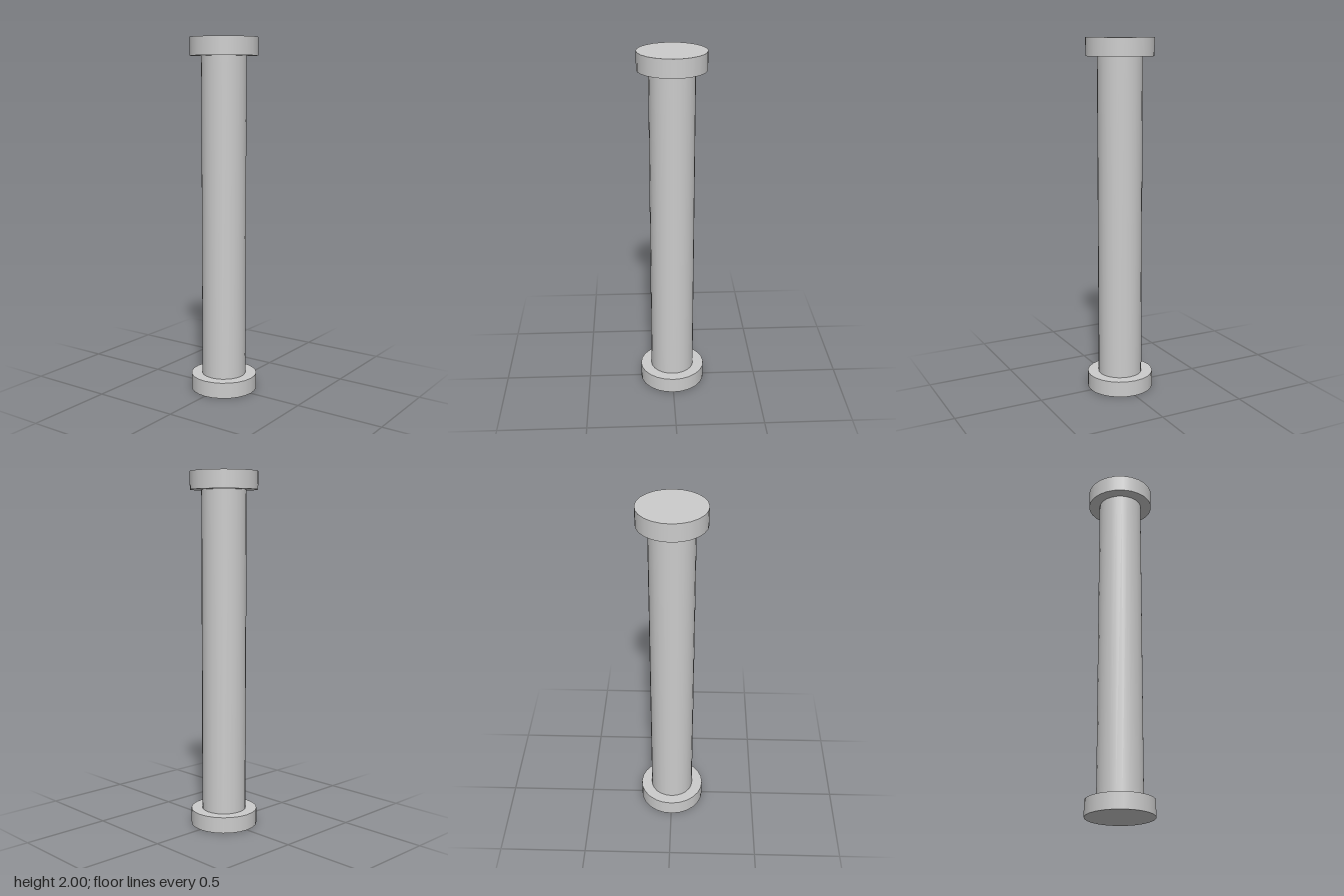
import * as THREE from 'three';

const SIDES = 24;
const BASE_TOP = 0.09;
const CAP_BOTTOM = 1.9;
const HEIGHT = 2;

export function createModel() {
  const model = new THREE.Group();
  model.name = 'column';
  const material = new THREE.MeshStandardMaterial({ color: 0xcccccc });

  // Upright round drum between two heights
  function addDrum(name, radius, bottom, top) {
    const geometry = new THREE.CylinderGeometry(radius, radius, top - bottom, SIDES);
    const mesh = new THREE.Mesh(geometry, material);
    mesh.name = name;
    mesh.position.y = (bottom + top) / 2;
    model.add(mesh);
  }

  addDrum('base', 0.188, 0, BASE_TOP);
  addDrum('shaft', 0.125, BASE_TOP, CAP_BOTTOM);
  addDrum('capital', 0.188, CAP_BOTTOM, HEIGHT);

  return model;
}
